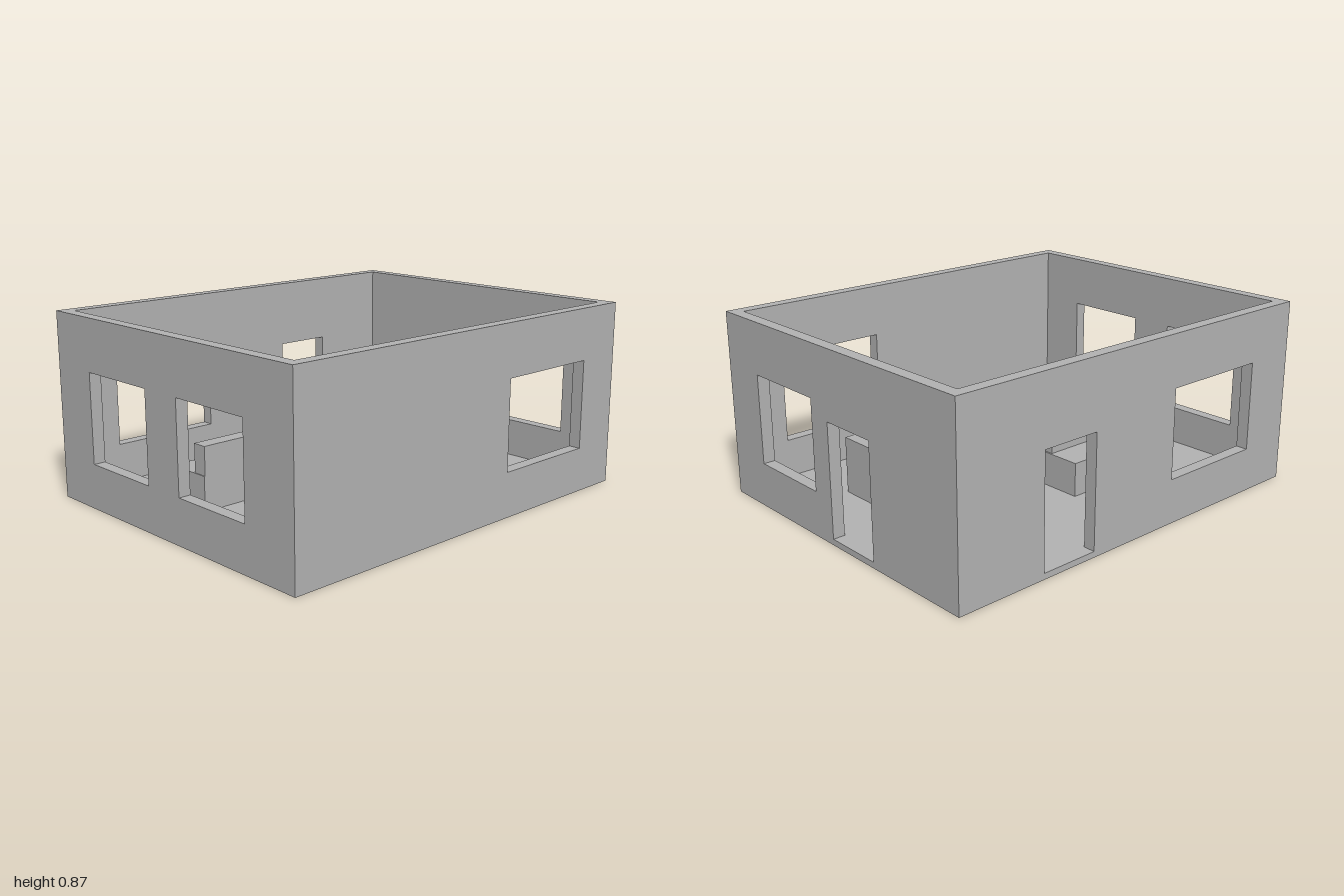
import * as THREE from 'three';

const W = 2, D = 1.59, H = 0.87, T = 0.057, FLOOR = 0.028;

// Wall panel in local x/y with rectangular openings [u0, u1, v0, v1], centred in thickness
function wallGeometry(length, openings) {
  const shape = new THREE.Shape();
  const h = length / 2;
  shape.moveTo(-h, 0).lineTo(h, 0).lineTo(h, H).lineTo(-h, H).closePath();
  for (const [u0, u1, v0, v1] of openings) {
    const hole = new THREE.Path();
    hole.moveTo(u0, v0).lineTo(u0, v1).lineTo(u1, v1).lineTo(u1, v0).closePath();
    shape.holes.push(hole);
  }
  const geo = new THREE.ExtrudeGeometry(shape, { depth: T, bevelEnabled: false });
  return geo.translate(0, 0, -T / 2);
}

export function createModel() {
  const group = new THREE.Group();
  const grey = new THREE.MeshStandardMaterial({ color: 0xb2b2b2 });
  grey.name = 'plain grey';

  const add = (name, geo) => {
    const mesh = new THREE.Mesh(geo, grey);
    mesh.name = name;
    group.add(mesh);
    return mesh;
  };
  const box = (name, x0, x1, y0, y1, z0, z1) =>
    add(name, new THREE.BoxGeometry(x1 - x0, y1 - y0, z1 - z0))
      .position.set((x0 + x1) / 2, (y0 + y1) / 2, (z0 + z1) / 2);

  const windowAt = (a, b) => [a, b, 0.21, 0.627];
  const doorAt = (a, b) => [a, b, FLOOR, 0.553];

  // Front and back walls span the full width
  add('frontWall', wallGeometry(W, [windowAt(0.23, 0.765)])).position.z = D / 2 - T / 2;
  add('backWall', wallGeometry(W, [doorAt(0.275, 0.56), windowAt(-0.74, -0.205)]))
    .position.z = -D / 2 + T / 2;

  // Side walls fit between them; the panel's local x runs along -z after the turn
  const side = (name, x, openings) => {
    const local = openings.map(([z0, z1, y0, y1]) => [-z1, -z0, y0, y1]);
    const wall = add(name, wallGeometry(D - 2 * T, local));
    wall.rotation.y = Math.PI / 2;
    wall.position.x = x;
  };
  side('leftWall', W / 2 - T / 2, [windowAt(0.14, 0.56), doorAt(-0.26, 0.025)]);
  side('rightWall', -W / 2 + T / 2, [windowAt(0.09, 0.51), windowAt(-0.545, -0.125)]);

  // Floor slab inside the walls
  box('floor', -W / 2 + T, W / 2 - T, 0, FLOOR, -D / 2 + T, D / 2 - T);

  // Sofa facing the back wall
  box('sofaSeat', -0.717, -0.065, FLOOR, 0.19, -0.35, -0.117);
  box('sofaBack', -0.712, -0.073, 0.19, 0.325, -0.19, -0.117);

  // Solid counter behind the front window
  box('counter', 0.06, 0.668, FLOOR, 0.297, 0.215, 0.398);

  return group;
}
